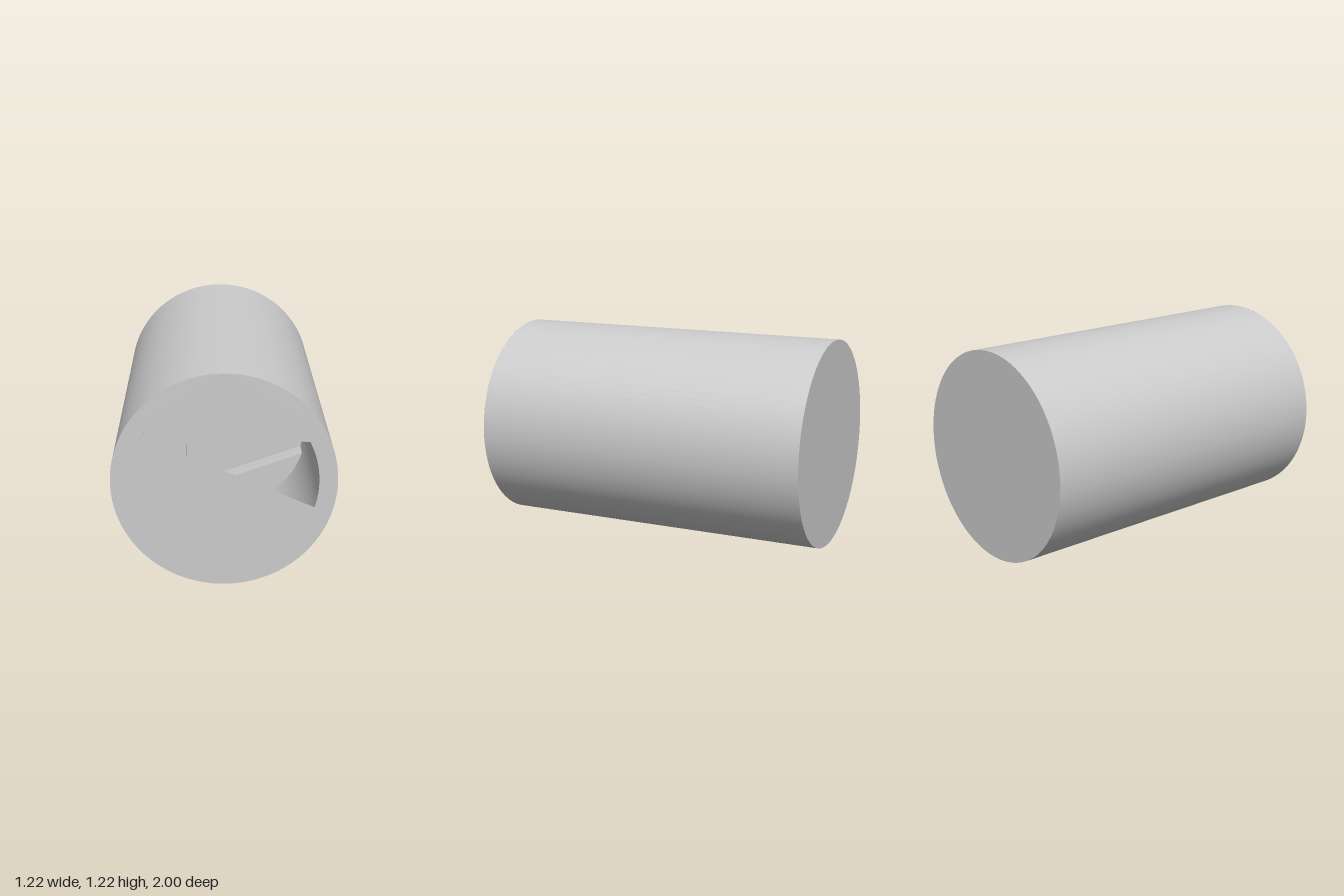
import * as THREE from 'three';

const R = 0.61;       // outer radius
const BORE = 0.51;    // inner radius
const BORE_DEPTH = 0.925;
const SEGMENTS = 96;
const rad = THREE.MathUtils.degToRad;

export function createModel() {
  const model = new THREE.Group();
  const solid = new THREE.MeshStandardMaterial({ color: 0xcccccc });
  const thin = new THREE.MeshStandardMaterial({ color: 0xcccccc, side: THREE.DoubleSide });

  // All shapes are drawn around the axis of the cylinder
  const add = (name, geometry, material, z = 0) => {
    const mesh = new THREE.Mesh(geometry, material);
    mesh.name = name;
    mesh.position.set(0, R, z);
    model.add(mesh);
    return mesh;
  };
  const tube = (radius, length) =>
    new THREE.CylinderGeometry(radius, radius, length, SEGMENTS, 1, true).rotateX(Math.PI / 2);

  // Outer wall and closed back
  add('outerWall', tube(R, 2), solid);
  add('backCap', new THREE.CircleGeometry(R, SEGMENTS).rotateY(Math.PI), solid, -1);

  // Thin front cap with a wedge-shaped slot
  const front = new THREE.Shape().absarc(0, 0, R, 0, Math.PI * 2);
  const slot = new THREE.Path();
  slot.moveTo(-0.42, 0.295);
  slot.lineTo(-0.44, 0.26);
  slot.absarc(0, 0, BORE, rad(-17), rad(26.6), false);
  slot.closePath();
  front.holes.push(slot);
  add('frontCap', new THREE.ShapeGeometry(front, SEGMENTS), thin, 1);

  // Blind bore behind the slot
  add('boreWall', tube(BORE, BORE_DEPTH), thin, 1 - BORE_DEPTH / 2);
  add('boreBottom', new THREE.CircleGeometry(BORE, SEGMENTS), thin, 1 - BORE_DEPTH);

  // Plates inside the bore: an arc on its wall closed by straight edges
  const plate = (name, startDeg, endDeg, points, depth, thickness) => {
    const shape = new THREE.Shape();
    shape.absarc(0, 0, BORE, rad(startDeg), rad(endDeg), false);
    points.forEach(([x, y]) => shape.lineTo(x, y));
    shape.closePath();
    const geometry = new THREE.ExtrudeGeometry(shape, {
      depth: thickness, bevelEnabled: false, curveSegments: 32,
    });
    add(name, geometry, solid, 1 - depth - thickness);
  };

  plate('leftBaffle', 80, 208, [[-0.207, -0.145], [-0.205, 0.11], [-0.02, 0.235]], 0.275, 0.16);
  plate('lowerBaffle', 237, 342, [], 0.805, 0.12);
  plate('topTab', 75.2, 110.7, [[-0.18, 0.235], [0.13, 0.235]], 0.12, 0.12);
  plate('leftTab', 143, 149.5, [[-0.335, 0.208]], 0.14, 0.1);

  return model;
}
